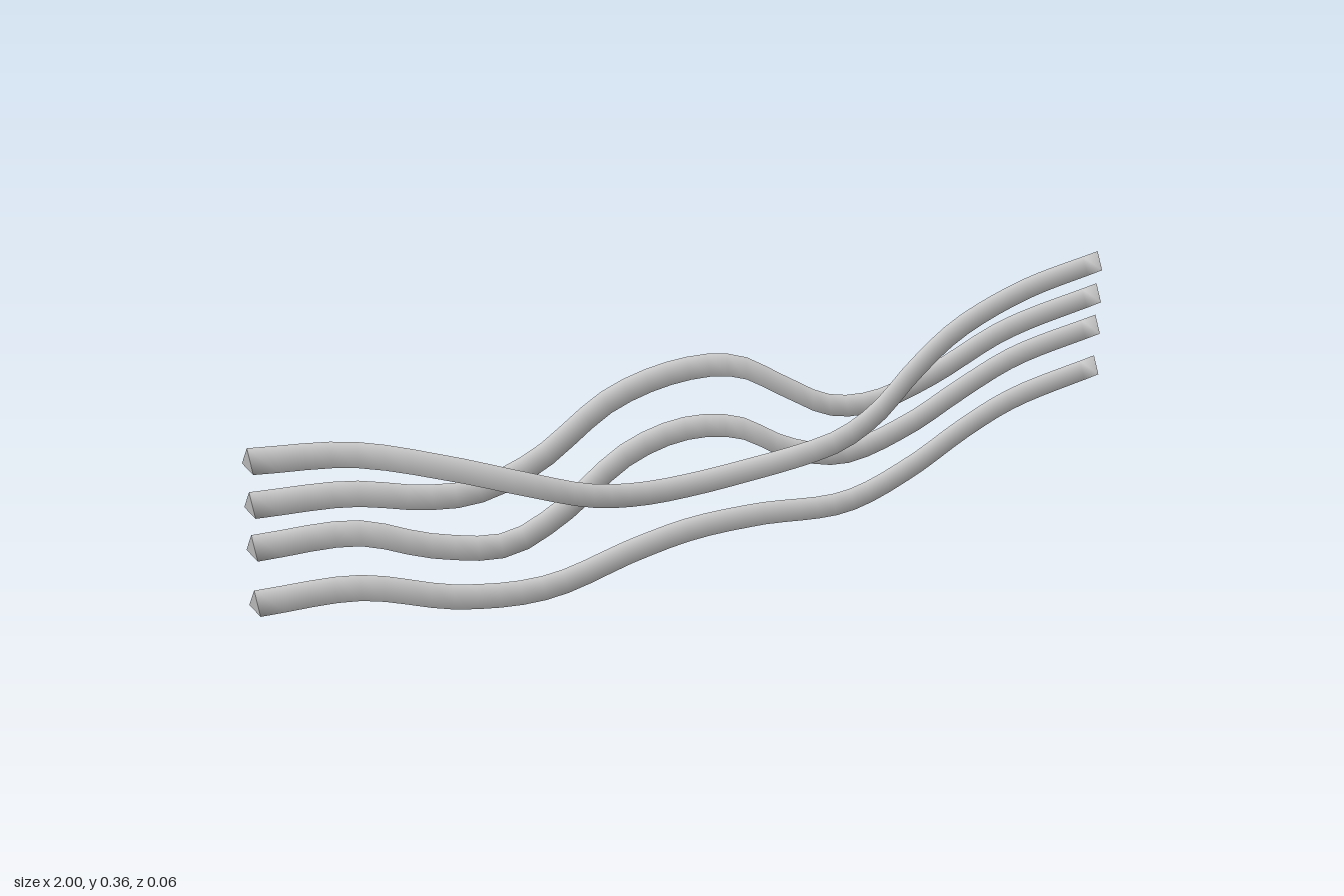
import * as THREE from 'three';

// Triangular section as [up, z]: top edge, front lower edge, back ridge
const SECTION = [[0.018, -0.017], [-0.018, -0.005], [-0.006, -0.03]];
const STEPS = 44;

// Sweep the section along a path of [x, y, z lift] points
function strandGeometry(points) {
  const curve = new THREE.CatmullRomCurve3(points.map(([x, y, z = 0]) => new THREE.Vector3(x, y, z)));
  const positions = [], index = [];
  for (let i = 0; i <= STEPS; i++) {
    const p = curve.getPointAt(i / STEPS);
    const t = curve.getTangentAt(i / STEPS);
    // ends are cut square to x
    const a = i === 0 || i === STEPS ? 0 : Math.atan2(t.y, t.x);
    for (const [up, z] of SECTION) {
      positions.push(p.x - Math.sin(a) * up, p.y + Math.cos(a) * up, p.z + z);
    }
  }
  for (let i = 0; i < STEPS; i++) {
    for (let j = 0; j < 3; j++) {
      const k = (j + 1) % 3;
      const a = i * 3 + j, b = i * 3 + k, c = b + 3, d = a + 3;
      index.push(a, b, c, a, c, d);
    }
  }
  // End caps on their own vertices
  const n = (STEPS + 1) * 3;
  positions.push(...positions.slice(0, 9), ...positions.slice(n * 3 - 9, n * 3));
  index.push(n, n + 2, n + 1, n + 3, n + 4, n + 5);

  const geometry = new THREE.BufferGeometry();
  geometry.setAttribute('position', new THREE.Float32BufferAttribute(positions, 3));
  geometry.setIndex(index);
  geometry.computeVertexNormals();
  return geometry;
}

export function createModel() {
  const group = new THREE.Group();
  group.name = 'wovenStrands';
  const material = new THREE.MeshStandardMaterial({ color: 0xcccccc, side: THREE.DoubleSide });

  const strands = {
    // Crosses in front of the two below it, twice
    crossingStrand: [
      [-1, 0.347], [-0.82, 0.321, 0.001], [-0.66, 0.272, 0.022], [-0.52, 0.221, 0.035], [-0.38, 0.172, 0.024],
      [-0.25, 0.144, 0.006], [-0.12, 0.133, 0], [0, 0.134, 0.009], [0.1, 0.141, 0.027], [0.2, 0.151, 0.035],
      [0.31, 0.178, 0.026], [0.43, 0.231, 0.01], [0.56, 0.281, 0], [0.75, 0.324], [1, 0.347],
    ],
    upperStrand: [
      [-1, 0.284], [-0.83, 0.265], [-0.69, 0.23], [-0.59, 0.219], [-0.47, 0.241], [-0.31, 0.31], [-0.15, 0.33],
      [-0.02, 0.314], [0.09, 0.262], [0.21, 0.206], [0.33, 0.19], [0.49, 0.21], [0.7, 0.258], [1, 0.284],
    ],
    middleStrand: [
      [-1, 0.222], [-0.82, 0.204], [-0.68, 0.153], [-0.53, 0.122], [-0.42, 0.149], [-0.28, 0.213], [-0.15, 0.231],
      [-0.02, 0.21], [0.11, 0.148], [0.25, 0.112], [0.43, 0.131], [0.57, 0.167], [0.73, 0.202], [1, 0.222],
    ],
    lowerStrand: [
      [-1, 0.141], [-0.82, 0.121], [-0.63, 0.061], [-0.45, 0.034], [-0.26, 0.052], [-0.13, 0.058],
      [0.03, 0.048], [0.26, 0.022], [0.43, 0.048], [0.59, 0.093], [0.73, 0.122], [1, 0.141],
    ],
  };

  for (const [name, points] of Object.entries(strands)) {
    const mesh = new THREE.Mesh(strandGeometry(points), material);
    mesh.name = name;
    group.add(mesh);
  }
  return group;
}
